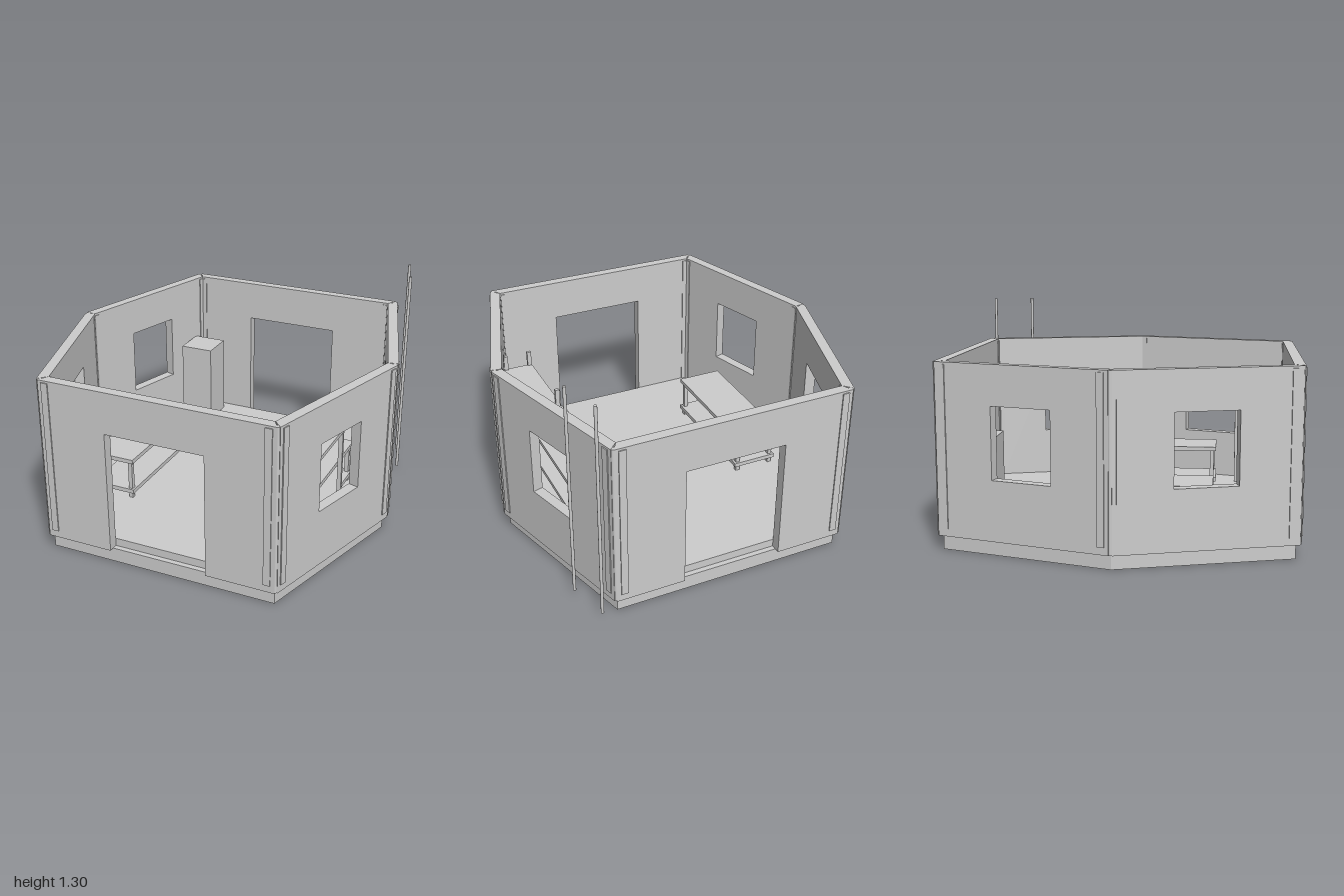
import * as THREE from 'three';

const grey = new THREE.MeshStandardMaterial({ color: 0xcccccc });
grey.name = 'plain grey';

// Hexagon corners, ordered so that each wall's local z points inward
const hexagon = (cx, cz, tip) =>
  [[cx, cz], [-cx, cz], [-tip, 0], [-cx, -cz], [cx, -cz], [tip, 0]].map(([x, z]) => new THREE.Vector2(x, z));
const OUTER = hexagon(0.695, 0.99, 0.995);
const INNER = hexagon(0.65, 0.93, 0.932);
const WALL_BOTTOM = 0.083, WALL_TOP = 1.042, FLOOR = 0.13, THICKNESS = 0.06;

function add(parent, name, geometry, x = 0, y = 0, z = 0) {
  const mesh = new THREE.Mesh(geometry, grey);
  mesh.name = name;
  mesh.position.set(x, y, z);
  parent.add(mesh);
}

// Box given by its lower and upper limits
function block(parent, name, x0, x1, y0, y1, z0, z1) {
  add(parent, name, new THREE.BoxGeometry(x1 - x0, y1 - y0, z1 - z0),
    (x0 + x1) / 2, (y0 + y1) / 2, (z0 + z1) / 2);
}

// Horizontal hexagonal plate
function plate(parent, name, corners, y0, y1) {
  const shape = new THREE.Shape(corners.map((c) => new THREE.Vector2(c.x, -c.y)));
  const geometry = new THREE.ExtrudeGeometry(shape, { depth: y1 - y0, bevelEnabled: false });
  geometry.rotateX(-Math.PI / 2);
  add(parent, name, geometry, 0, y0, 0);
}

const points = (list) => list.map(([x, y]) => new THREE.Vector2(x, y));

function addWall(parent, side) {
  const next = (side + 1) % 6;
  const hasDoor = side % 3 === 0;
  const along = OUTER[next].clone().sub(OUTER[side]);
  const length = along.length(), half = length / 2;
  along.normalize();
  const middle = OUTER[side].clone().add(OUTER[next]).multiplyScalar(0.5);

  // Local frame: x along the wall, z inward from the outer face
  const wall = new THREE.Group();
  wall.name = hasDoor ? 'doorWall' : 'windowWall';
  wall.position.set(middle.x, 0, middle.y);
  wall.rotation.y = Math.atan2(-along.y, along.x);
  parent.add(wall);

  // Outer ends stop just short of the corner
  const end = half - 0.01;
  const shape = new THREE.Shape(points(hasDoor
    ? [[-end, WALL_BOTTOM], [-0.29, WALL_BOTTOM], [-0.29, 0.8], [0.29, 0.8],
      [0.29, WALL_BOTTOM], [end, WALL_BOTTOM], [end, WALL_TOP], [-end, WALL_TOP]]
    : [[-end, WALL_BOTTOM], [end, WALL_BOTTOM], [end, WALL_TOP], [-end, WALL_TOP]]));
  if (!hasDoor) {
    const a = ((side % 3 === 1 ? 0.338 : 0.324) - 0.5) * length, b = a + 0.338 * length;
    shape.holes.push(new THREE.Path(points([[a, 0.42], [a, 0.82], [b, 0.82], [b, 0.42]])));
  }
  const panel = new THREE.ExtrudeGeometry(shape, { depth: THICKNESS, bevelEnabled: false });

  // Mitre the inner ends so that neighbouring walls meet
  const innerEnds = [side, next].map((i) => INNER[i].clone().sub(middle).dot(along));
  const p = panel.attributes.position;
  for (let i = 0; i < p.count; i++) {
    if (p.getZ(i) > THICKNESS / 2 && Math.abs(p.getX(i)) > end - 0.001)
      p.setX(i, innerEnds[p.getX(i) < 0 ? 0 : 1]);
  }
  panel.computeVertexNormals();
  add(wall, 'wallPanel', panel);

  // Raised strips beside each end, outside and inside
  for (const x of [0.053 - half, half - 0.053])
    block(wall, 'outerStrip', x - 0.02, x + 0.02, 0.125, 1.03, -0.006, 0.002);
  for (const x of [innerEnds[0] + 0.015, innerEnds[1] - 0.015])
    block(wall, 'innerStrip', x - 0.015, x + 0.015, FLOOR, 1.03, THICKNESS - 0.002, THICKNESS + 0.005);
}

// Bench with a lower board on four legs
function addBench(parent, name, x0, x1, z0, z1) {
  const bench = new THREE.Group();
  bench.name = name;
  parent.add(bench);
  block(bench, 'benchTop', x0, x1, 0.362, 0.387, z0, z1);
  block(bench, 'lowerBoard', x0, x1, 0.165, 0.19, z0, z1);
  for (const x of [x0 + 0.025, x1 - 0.025])
    for (const z of [z0 + 0.025, z1 - 0.025])
      block(bench, 'benchLeg', x - 0.0125, x + 0.0125, FLOOR, 0.362, z - 0.0125, z + 0.0125);
}

export function createModel() {
  const model = new THREE.Group();
  model.name = 'hexagonalRoom';

  // Base and floor
  plate(model, 'baseSlab', hexagon(0.675, 0.96, 0.96), 0, WALL_BOTTOM);
  plate(model, 'floor', INNER, WALL_BOTTOM, FLOOR);

  for (let side = 0; side < 6; side++) {
    addWall(model, side);
    // Post closing the joint between two walls
    const joint = INNER[side].clone().lerp(OUTER[side], 0.72);
    add(model, 'cornerPost', new THREE.CylinderGeometry(0.013, 0.013, WALL_TOP - WALL_BOTTOM - 0.002, 12),
      joint.x, (WALL_TOP + WALL_BOTTOM) / 2, joint.y);
  }

  // Furniture
  addBench(model, 'rightBench', -0.683, -0.41, -0.26, 0.513);
  addBench(model, 'leftBench', 0.407, 0.68, -0.26, 0.513);
  block(model, 'cabinet', -0.675, -0.465, FLOOR, 0.63, -0.87, -0.66);

  const rack = new THREE.Group();
  rack.name = 'shelfRack';
  model.add(rack);
  block(rack, 'rackShelf', 0.565, 0.745, 0.642, 0.664, 0.128, 0.643);
  for (const x of [0.58, 0.73])
    for (const z of [0.133, 0.64])
      block(rack, 'rackPost', x - 0.0125, x + 0.0125, FLOOR, 0.755, z - 0.0095, z + 0.0095);

  // Tall poles outside the back corner
  for (const [x, z] of [[0.763, -0.967], [0.833, -0.738]])
    add(model, 'pole', new THREE.CylinderGeometry(0.009, 0.009, 1.28, 16), x, 0.66, z);

  return model;
}
